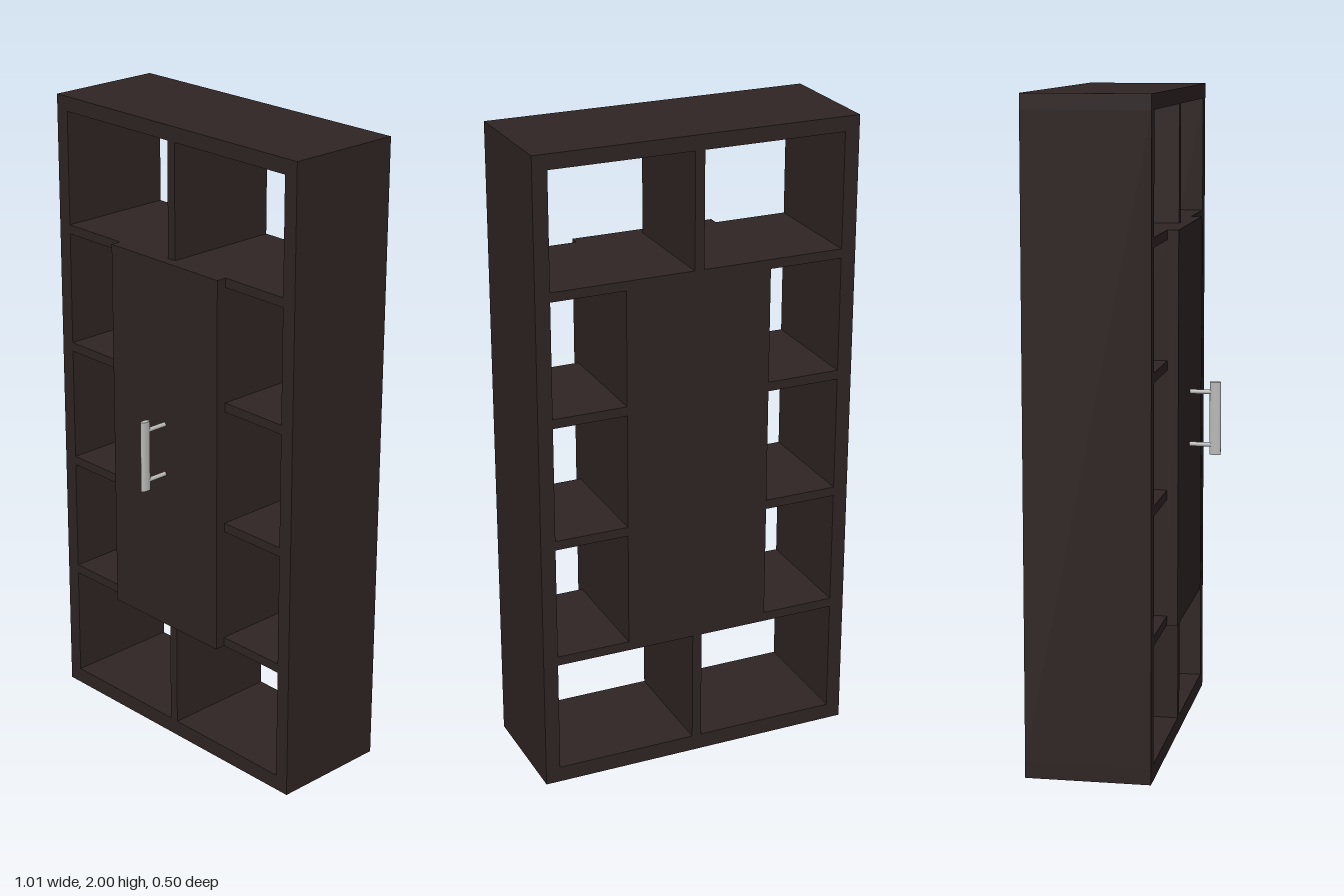
import * as THREE from 'three';

export function createModel() {
  const model = new THREE.Group();
  model.name = 'bookcase';
  const wood = new THREE.MeshStandardMaterial({ color: 0x2e2423 });
  wood.name = 'dark wood';
  const metal = new THREE.MeshStandardMaterial({ color: 0xb9b9b6 });
  metal.name = 'brushed metal';

  // Board given by its extents on each axis
  const board = (name, x0, x1, y0, y1, z0, z1, parent = model) => {
    const mesh = new THREE.Mesh(new THREE.BoxGeometry(x1 - x0, y1 - y0, z1 - z0), wood);
    mesh.position.set((x0 + x1) / 2, (y0 + y1) / 2, (z0 + z1) / 2);
    mesh.name = name;
    parent.add(mesh);
  };

  const W = 0.507, T = 0.046, back = -0.252, front = 0.124;
  const cab = 0.229, cabBottom = 0.407, cabTop = 1.598, shelfT = 0.029;

  // Outer frame
  board('topPanel', -W, W, 2 - T, 2, back, front);
  board('bottomPanel', -W, W, 0, 0.05, back, front);
  board('rightSide', -W, -W + T, 0.05, 2 - T, back, front);
  board('leftSide', W - T, W, 0.05, 2 - T, back, front);

  // Full-width shelves below and above the cupboard
  board('lowerShelf', -W + T, W - T, cabBottom, cabBottom + shelfT, back, front);
  board('upperShelf', -W + T, W - T, cabTop - shelfT, cabTop, back, front);

  // Centre dividers
  board('lowerDivider', -0.015, 0.015, 0.05, cabBottom, back, front);
  board('upperDivider', -0.015, 0.015, cabTop, 2 - T, back, front);

  // Cupboard walls and the short shelves beside them
  const y0 = cabBottom + shelfT, y1 = cabTop - shelfT;
  for (const [side, s] of [['left', 1], ['right', -1]]) {
    const span = (a, b) => (s > 0 ? [a, b] : [-b, -a]);
    board(side + 'CupboardWall', ...span(cab - 0.03, cab), y0, y1, back, front);
    for (const y of [0.794, 1.183]) {
      board(side + 'ShortShelf', ...span(cab, W - T), y, y + shelfT, back, front);
    }
  }
  board('cupboardBack', -cab + 0.03, cab - 0.03, y0, y1, back, back + 0.03);

  // Door overlaying the cupboard front
  const door = new THREE.Group();
  door.name = 'door';
  model.add(door);
  board('doorPanel', -cab, cab, cabBottom, cabTop, front, 0.157, door);

  // Oval bar handle on two round posts
  const handle = new THREE.Group();
  handle.name = 'handle';
  door.add(handle);
  const bar = new THREE.Mesh(new THREE.CylinderGeometry(1, 1, 0.225, 24), metal);
  bar.scale.set(0.0085, 1, 0.0175);
  bar.position.set(0, 1.003, 0.235);
  bar.name = 'handleBar';
  handle.add(bar);
  for (const y of [0.921, 1.084]) {
    const post = new THREE.Mesh(new THREE.CylinderGeometry(0.007, 0.007, 0.075, 16), metal);
    post.rotation.x = Math.PI / 2;
    post.position.set(0, y, 0.1925);
    post.name = 'handlePost';
    handle.add(post);
  }
  return model;
}
